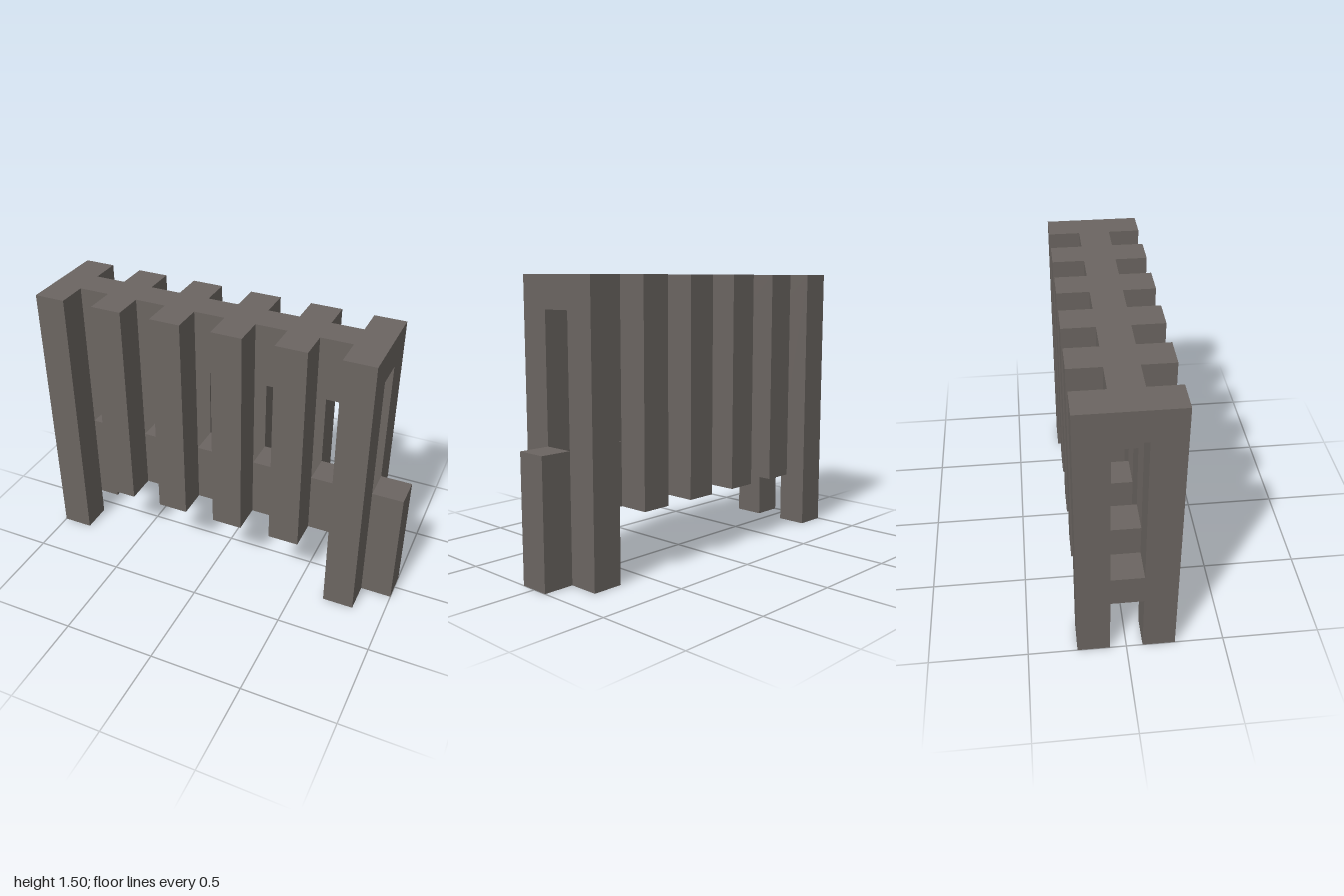
import * as THREE from 'three';

const U = 1 / 6; // thickness of every beam

export function createModel() {
  const group = new THREE.Group();
  group.name = 'slattedBarrier';
  const stone = new THREE.MeshStandardMaterial({ color: 0x6b6561 });
  stone.name = 'greyBrown';

  // Box given by its lower and upper corners, in beam units
  const addBox = (name, x0, x1, y0, y1, z0, z1) => {
    const geo = new THREE.BoxGeometry((x1 - x0) * U, (y1 - y0) * U, (z1 - z0) * U);
    const mesh = new THREE.Mesh(geo, stone);
    mesh.position.set((x0 + x1) / 2 * U, (y0 + y1) / 2 * U, (z0 + z1) / 2 * U);
    mesh.name = name;
    group.add(mesh);
  };

  // Upright frame with a tall opening; end frames stand on two legs
  const addFrame = (name, x, hasLegs) => {
    const outline = hasLegs
      ? [[-1.5, 0], [-0.5, 0], [-0.5, 2], [0.5, 2], [0.5, 0], [1.5, 0], [1.5, 9], [-1.5, 9]]
      : [[-1.5, 2], [1.5, 2], [1.5, 9], [-1.5, 9]];
    const opening = [[-0.5, 3], [-0.5, 8], [0.5, 8], [0.5, 3]];
    const toPoints = (list) => list.map(([z, y]) => new THREE.Vector2(z * U, y * U));
    const shape = new THREE.Shape(toPoints(outline));
    shape.holes.push(new THREE.Path(toPoints(opening)));
    const geo = new THREE.ExtrudeGeometry(shape, { depth: U, bevelEnabled: false });
    geo.rotateY(Math.PI / 2);
    const mesh = new THREE.Mesh(geo, stone);
    mesh.position.x = x * U;
    mesh.name = name;
    group.add(mesh);
  };

  for (let i = 0; i < 6; i++) {
    const x = -6 + 2 * i;
    const isEnd = i === 0 || i === 5;
    addFrame(isEnd ? 'endFrame' : 'middleFrame', x, isEnd);
    // Rails joining this frame to the next
    if (i < 5) {
      addBox('lowerRail', x + 1, x + 2, 2, 4, -0.5, 0.5);
      addBox('upperRail', x + 1, x + 2, 7, 9, -0.5, 0.5);
    }
  }

  // Short post against the left end
  addBox('endPost', 5, 6, 0, 4, -0.5, 0.5);
  return group;
}
